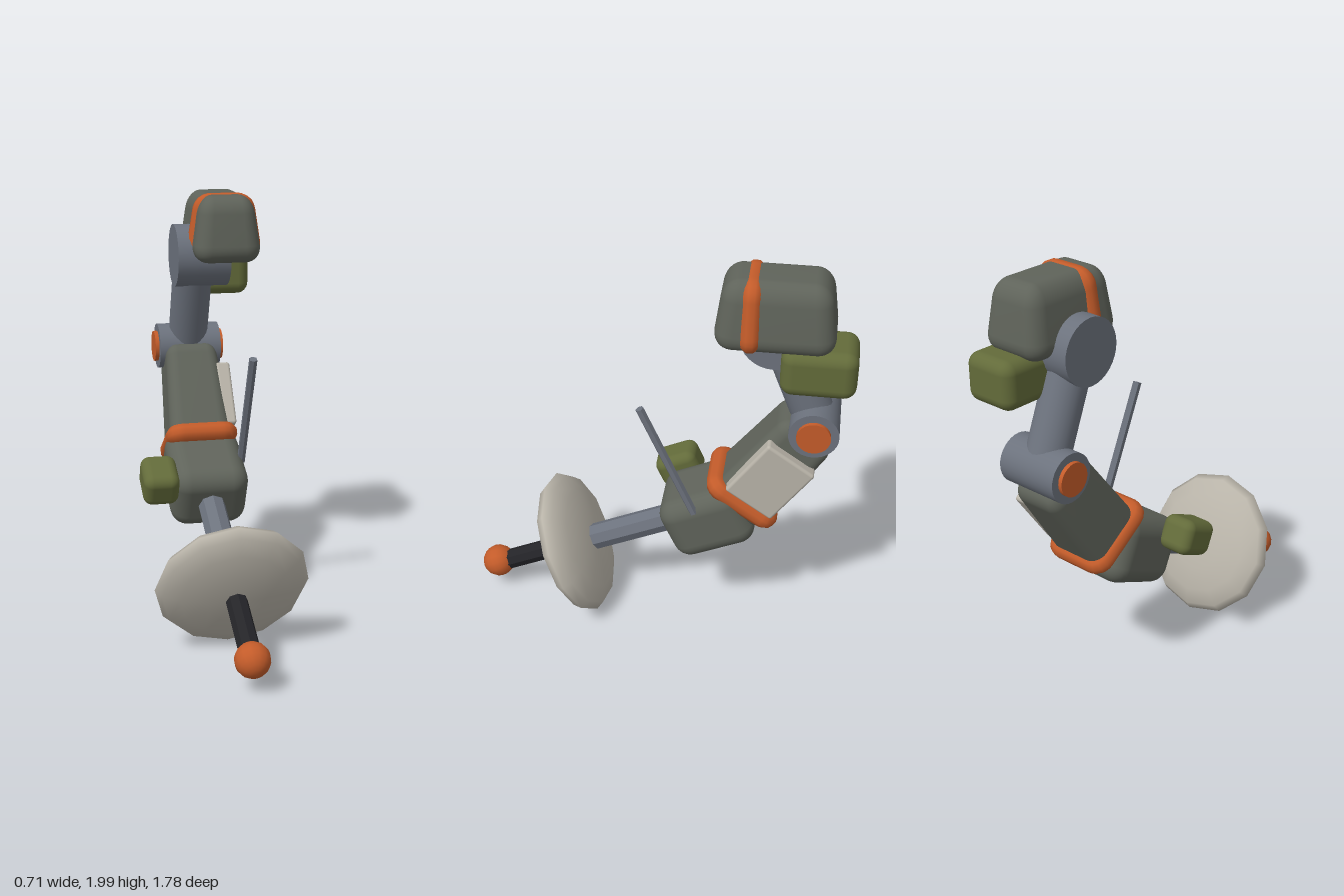
import * as THREE from 'three';
import { mergeVertices } from 'three/addons/utils/BufferGeometryUtils.js';
import { RoundedBoxGeometry } from 'three/addons/geometries/RoundedBoxGeometry.js';

const mat = (color, flatShading = false) => new THREE.MeshStandardMaterial({ color, flatShading });
const GREY = mat(0x5f635a), ORANGE = mat(0xc45c2a), OLIVE = mat(0x636b3a), PALE = mat(0xb8b3a8);
const STEEL = mat(0x6c727d), STEEL_FLAT = mat(0x6c727d, true), BLACK_FLAT = mat(0x242428, true);

function add(parent, name, geometry, material, x = 0, y = 0, z = 0) {
  const mesh = new THREE.Mesh(geometry, material);
  mesh.name = name;
  mesh.position.set(x, y, z);
  parent.add(mesh);
  return mesh;
}

function section(parent, name, y, z, tilt) {
  const group = new THREE.Group();
  group.name = name;
  group.position.set(0, y, z);
  group.rotation.x = tilt;
  parent.add(group);
  return group;
}

// Rounded box whose top is narrowed by the factors tx and tz
function softBox(w, h, d, r, tx = 1, tz = 1) {
  let g = new RoundedBoxGeometry(w, h, d, 4, r);
  if (tx === 1 && tz === 1) return g;
  const p = g.attributes.position;
  for (let i = 0; i < p.count; i++) {
    const t = p.getY(i) / h + 0.5;
    p.setX(i, p.getX(i) * (1 + (tx - 1) * t));
    p.setZ(i, p.getZ(i) * (1 + (tz - 1) * t));
  }
  g.deleteAttribute('normal');
  g.deleteAttribute('uv');
  g = mergeVertices(g, 1e-5);
  g.computeVertexNormals();
  return g;
}

// Tube strap around a four-cornered loop, with softened corners
function strap(corners, radius, round) {
  const path = new THREE.CurvePath();
  const n = corners.length;
  const toward = (a, b) => a.clone().add(b.clone().sub(a).setLength(round));
  corners.forEach((c, i) => {
    const prev = corners[(i + n - 1) % n], next = corners[(i + 1) % n];
    path.add(new THREE.QuadraticBezierCurve3(toward(c, prev), c, toward(c, next)));
    path.add(new THREE.LineCurve3(toward(c, next), toward(next, c)));
  });
  return new THREE.TubeGeometry(path, 72, radius, 10, true);
}

export function createModel() {
  const model = new THREE.Group();
  const V = (x, y, z) => new THREE.Vector3(x, y, z);

  // Lower section: hip block with shaft, dish and ball tip on its axis
  const lower = section(model, 'lowerSection', 0.632, -0.258, -1.14);
  add(lower, 'hipBlock', softBox(0.37, 0.41, 0.325, 0.085), GREY);
  add(lower, 'shaft', new THREE.CylinderGeometry(0.065, 0.065, 0.62, 8), STEEL_FLAT, 0, -0.41, 0);
  const dish = add(lower, 'dish', new THREE.SphereGeometry(0.355, 12, 8), PALE, 0, -0.724, 0);
  dish.scale.y = 0.3;
  add(lower, 'handle', new THREE.CylinderGeometry(0.05, 0.05, 0.44, 8), BLACK_FLAT, 0, -0.95, 0);
  add(lower, 'ballTip', new THREE.SphereGeometry(0.08, 14, 10), ORANGE, 0, -1.172, 0.01);

  // Side pouch and antenna
  const pouch = add(model, 'sidePouch', softBox(0.17, 0.21, 0.165, 0.045), OLIVE, -0.252, 0.685, -0.085);
  pouch.rotation.x = -1.14;
  const antenna = add(model, 'antenna', new THREE.CylinderGeometry(0.02, 0.02, 0.62, 6), STEEL_FLAT, 0.17, 1.002, -0.075);
  antenna.rotation.x = 0.42;

  // Torso: tapered block, strap and side panel
  const torso = section(model, 'torso', 0.934, -0.546, -0.608);
  add(torso, 'torsoBlock', softBox(0.32, 0.58, 0.32, 0.07, 0.8, 0.87), GREY);
  const w = 0.132, d = 0.15;
  add(torso, 'torsoStrap', strap([V(w, 0, d), V(-w, 0, d), V(-w, 0, -d), V(w, 0, -d)], 0.047, 0.04), ORANGE, 0, -0.21, 0.008);
  add(torso, 'sidePanel', softBox(0.07, 0.33, 0.265, 0.014), PALE, 0.147, 0, 0.002);

  // Elbow: crosswise drum with a cap at each end
  const elbow = section(model, 'elbow', 1.2, -0.725, 0);
  const drum = add(elbow, 'elbowDrum', new THREE.CylinderGeometry(0.113, 0.113, 0.31, 32), STEEL);
  drum.rotation.z = Math.PI / 2;
  for (const side of [-1, 1]) {
    const cap = add(elbow, 'elbowCap', new THREE.CylinderGeometry(0.077, 0.077, 0.04, 24), ORANGE, side * 0.154, 0, 0);
    cap.rotation.z = Math.PI / 2;
  }

  // Upper arm and head joint
  const arm = add(model, 'upperArm', new THREE.CylinderGeometry(0.098, 0.098, 0.53, 24), STEEL, 0, 1.445, -0.627);
  arm.rotation.x = 0.38;
  const joint = add(model, 'headJoint', new THREE.CylinderGeometry(0.152, 0.152, 0.26, 32), STEEL, 0.03, 1.69, -0.53);
  joint.rotation.z = Math.PI / 2;

  // Head: tapered block with strap and rear pack
  const head = section(model, 'head', 1.833, -0.53, 0);
  add(head, 'headBlock', softBox(0.345, 0.32, 0.53, 0.085, 0.74, 0.84), GREY, 0.13, 0, 0);
  const loop = [V(0.103, 0.122, 0), V(-0.103, 0.122, 0), V(-0.142, -0.117, 0), V(0.142, -0.117, 0)];
  add(head, 'headStrap', strap(loop, 0.045, 0.04), ORANGE, 0.13, 0, 0.102);
  add(model, 'rearPack', softBox(0.26, 0.22, 0.325, 0.055), OLIVE, 0.16, 1.59, -0.724);

  return model;
}
